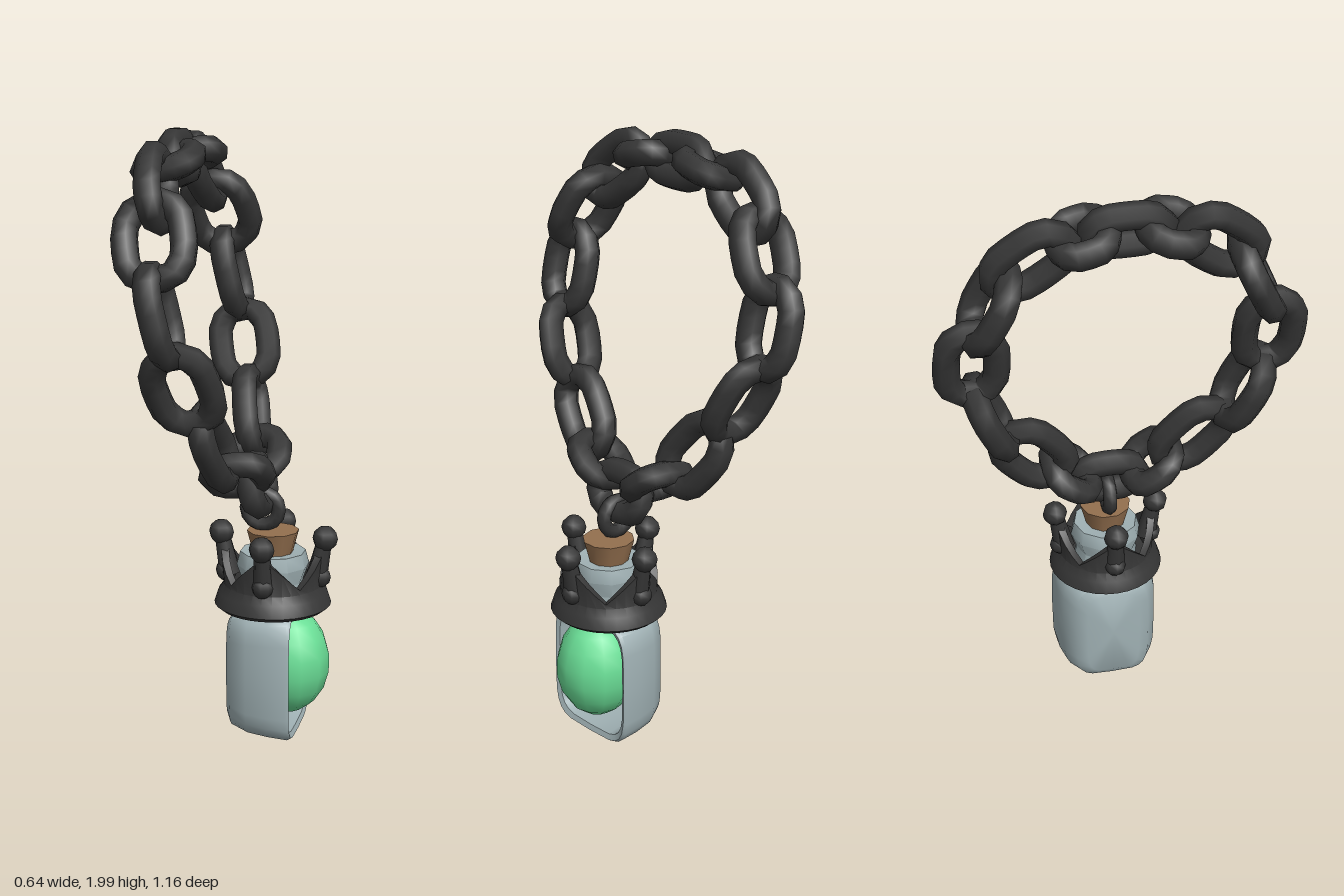
import * as THREE from 'three';
import { toCreasedNormals } from 'three/addons/utils/BufferGeometryUtils.js';

const mat = (name, color) => {
  const m = new THREE.MeshStandardMaterial({ color });
  m.name = name;
  return m;
};

const CX = 0.107; // axis of the pendant

// Closed rounded chain link lying in its local XY plane, long along Y
function linkGeometry(halfWidth, halfLength, radius) {
  const w = halfWidth, l = halfLength;
  const corners = [[w, -l * 0.5], [w, l * 0.5], [w * 0.5, l], [-w * 0.5, l],
    [-w, l * 0.5], [-w, -l * 0.5], [-w * 0.5, -l], [w * 0.5, -l]];
  const path = new THREE.CatmullRomCurve3(
    corners.map(([x, y]) => new THREE.Vector3(x, y, 0)), true, 'catmullrom', 0.3);
  return new THREE.TubeGeometry(path, 16, radius, 7, true);
}

// Skin of rounded-square sections [x, height scale, width scale] stacked along X
function bottleGeometry(sections, cy, hy, hz) {
  const n = 24, pos = [], index = [];
  const power = (v) => Math.sign(v) * Math.abs(v) ** 0.42;
  for (const [x, sy, sz] of sections) {
    for (let j = 0; j < n; j++) {
      const a = (j / n) * Math.PI * 2;
      pos.push(x, cy + hy * sy * power(Math.sin(a)), hz * sz * power(Math.cos(a)));
    }
  }
  for (let i = 0; i < sections.length - 1; i++) {
    for (let j = 0; j < n; j++) {
      const a = i * n + j, b = i * n + (j + 1) % n, c = a + n, d = b + n;
      index.push(a, c, b, b, c, d);
    }
  }
  const g = new THREE.BufferGeometry();
  g.setAttribute('position', new THREE.Float32BufferAttribute(pos, 3));
  g.setIndex(index);
  return toCreasedNormals(g, 0.7);
}

// Lathed band whose upper edge rises into four outward-leaning points
function crownGeometry() {
  const profile = [[0.08, 0.44], [0.175, 0.44], [0.193, 0.455], [0.18, 0.495], [0.162, 0.52],
    [0.162, 0.56], [0.138, 0.56], [0.135, 0.5], [0.08, 0.49]];
  const g = new THREE.LatheGeometry(profile.map(([r, y]) => new THREE.Vector2(r, y)), 32);
  const p = g.attributes.position;
  for (let i = 0; i < p.count; i++) {
    if (p.getY(i) < 0.55) continue;
    const a = Math.atan2(p.getX(i), p.getZ(i)) / (Math.PI / 2);
    const t = 1 - Math.abs(a - Math.round(a)) * 2;
    const lean = 1 + 0.06 * t;
    p.setXYZ(i, p.getX(i) * lean, 0.535 + 0.115 * t, p.getZ(i) * lean);
  }
  return toCreasedNormals(g, 0.7);
}

export function createModel() {
  const iron = mat('dark iron', 0x363636);
  const glass = mat('pale glass', 0xa0b1b4);
  const green = mat('green gem', 0x6ade96);
  const brown = mat('brown cork', 0x94704f);

  const root = new THREE.Group();
  root.name = 'chainedBottle';
  const add = (parent, name, geometry, material, x = 0, y = 0, z = 0) => {
    const mesh = new THREE.Mesh(geometry, material);
    mesh.name = name;
    mesh.position.set(x, y, z);
    parent.add(mesh);
    return mesh;
  };

  // Chain: half of the loop as [x, y, z, half width, half length], mirrored across z
  const half = [
    [-0.2, 1.905, 0, 0.05, 0.105], [-0.2, 1.9, 0.132, 0.075, 0.07],
    [-0.195, 1.835, 0.285, 0.07, 0.118], [-0.17, 1.69, 0.405, 0.09, 0.118],
    [-0.14, 1.475, 0.463, 0.074, 0.122], [-0.085, 1.24, 0.405, 0.08, 0.12],
    [-0.025, 1.035, 0.262, 0.074, 0.125], [0.018, 0.915, 0.135, 0.078, 0.075],
    [0.055, 0.85, 0, 0.062, 0.095]];
  const loop = [...half, ...half.slice(1, -1).reverse().map(([x, y, z, w, l]) => [x, y, -z, w, l])];
  const centre = ([x, y, z]) => new THREE.Vector3(x, y, z);
  const normal = new THREE.Vector3(1, 0.235, 0).normalize();
  const chain = new THREE.Group();
  chain.name = 'chain';
  root.add(chain);
  loop.forEach((entry, i) => {
    const n = loop.length;
    const along = centre(loop[(i + 1) % n]).sub(centre(loop[(i + n - 1) % n]));
    along.projectOnPlane(normal).normalize();
    const across = new THREE.Vector3().crossVectors(along, normal);
    const basis = new THREE.Matrix4();
    // every second link is turned a quarter about the chain
    if (i % 2 === 0) basis.makeBasis(across, along, normal);
    else basis.makeBasis(normal, along, across.clone().negate());
    const link = add(chain, 'chainLink', linkGeometry(entry[3], entry[4], 0.043), iron);
    link.quaternion.setFromRotationMatrix(basis);
    link.position.copy(centre(entry));
  });

  // Small ring between chain and cork
  add(root, 'hangingRing', new THREE.TorusGeometry(0.054, 0.024, 7, 14), iron, 0.072, 0.77, 0);

  // Cork and bottle neck
  add(root, 'cork', toCreasedNormals(new THREE.CylinderGeometry(0.086, 0.062, 0.09, 10), 0.7),
    brown, CX, 0.655, 0);
  const neck = [[0.13, 0.42], [0.1, 0.53], [0.12, 0.585], [0.108, 0.63], [0.05, 0.625]];
  add(root, 'bottleNeck', toCreasedNormals(new THREE.LatheGeometry(
    neck.map(([r, y]) => new THREE.Vector2(r, y)), 10), 0.7), glass, CX, 0, 0);

  // Bottle body: tapered rounded back, open front with a rim and hollow inside
  add(root, 'bottleBody', bottleGeometry([[-0.03, 0, 0], [-0.03, 0.76, 0.52], [-0.012, 0.88, 0.72],
    [0.05, 0.95, 0.92], [0.12, 0.98, 0.99], [0.185, 1, 1], [0.197, 0.97, 0.97], [0.19, 0.89, 0.89],
    [0.04, 0.8, 0.78], [0.03, 0, 0]], 0.23, 0.222, 0.177), glass);

  // Egg-shaped gem
  const gem = add(root, 'gem', new THREE.SphereGeometry(1, 12, 9), green, 0.16, 0.253, 0);
  gem.scale.set(0.14, 0.178, 0.137);

  // Crown around the neck, with a post, ball and stud on each point
  const crown = new THREE.Group();
  crown.name = 'crown';
  crown.position.x = CX;
  root.add(crown);
  add(crown, 'crownBand', crownGeometry(), iron);
  for (let i = 0; i < 4; i++) {
    const point = new THREE.Group();
    point.name = 'crownPoint';
    point.rotation.y = i * Math.PI / 2;
    crown.add(point);
    const post = add(point, 'post', new THREE.CylinderGeometry(0.025, 0.037, 0.14, 7), iron, 0.158, 0.61, 0);
    post.rotation.z = -0.2;
    add(point, 'ball', new THREE.SphereGeometry(0.042, 8, 6), iron, 0.174, 0.682, 0);
    add(point, 'stud', new THREE.SphereGeometry(0.036, 8, 6), iron, 0.158, 0.55, 0);
  }
  return root;
}
